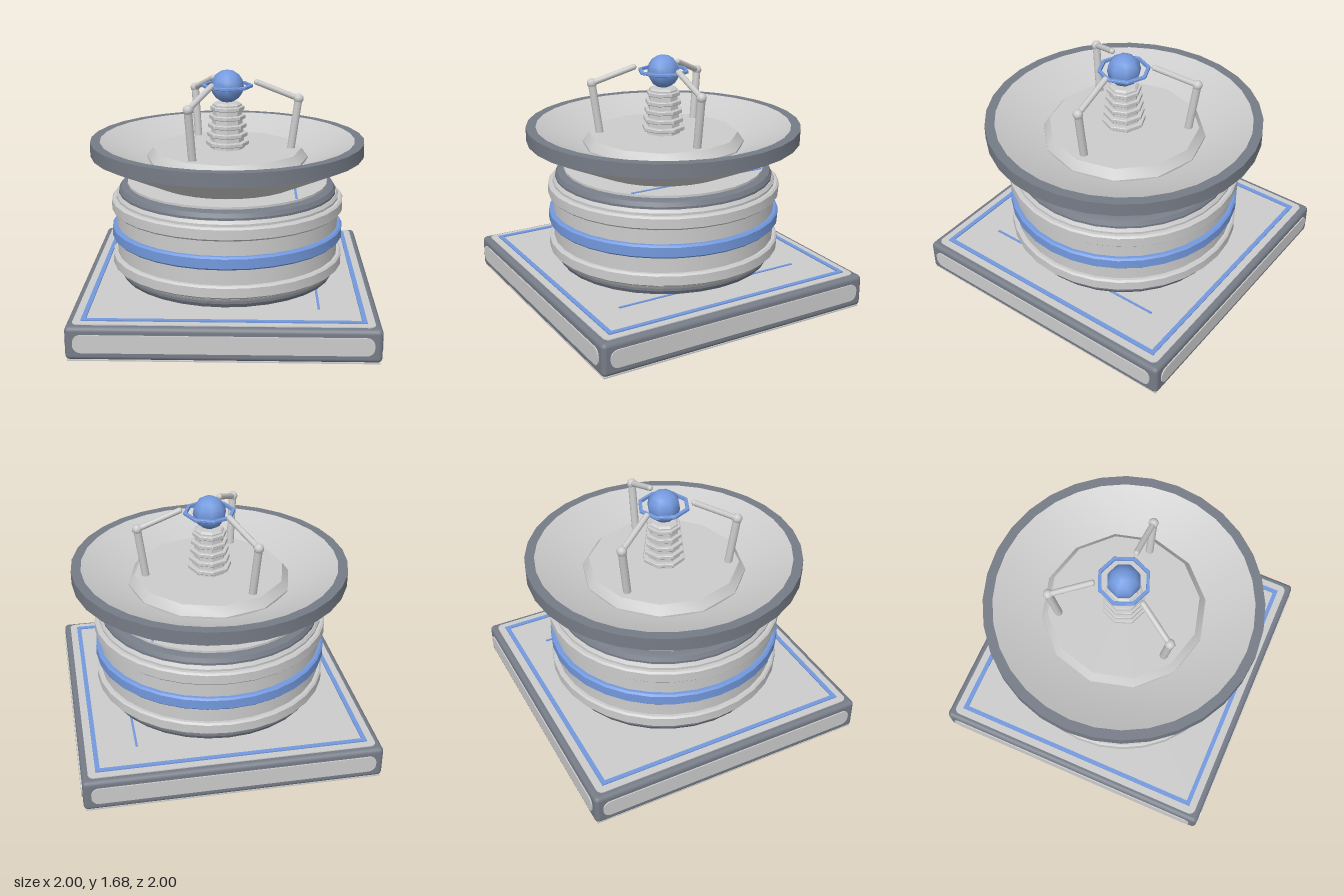
import * as THREE from 'three';
import { toCreasedNormals } from 'three/addons/utils/BufferGeometryUtils.js';
import { RoundedBoxGeometry } from 'three/addons/geometries/RoundedBoxGeometry.js';

const flat = (name, color) => {
  const m = new THREE.MeshStandardMaterial({ color });
  m.name = name;
  return m;
};

export function createModel() {
  const light = flat('light grey', 0xcccccc);
  const dark = flat('slate grey', 0x767c87);
  const blue = flat('blue', 0x7399de);
  const model = new THREE.Group();

  const add = (name, geometry, material, x = 0, y = 0, z = 0, parent = model) => {
    const mesh = new THREE.Mesh(geometry, material);
    mesh.name = name;
    mesh.position.set(x, y, z);
    parent.add(mesh);
    return mesh;
  };
  // Turned part from [radius, height] pairs
  const turned = (name, profile, material, sides = 32, crease = 0.5) => {
    const g = new THREE.LatheGeometry(profile.map(([r, y]) => new THREE.Vector2(r, y)), sides);
    return add(name, toCreasedNormals(g, crease), material);
  };
  // Hoop with chamfered edges
  const hoop = (name, r, y0, y1, inner, material, sides = 32, c = 0.012) =>
    turned(name, [[inner, y0], [r - c, y0], [r, y0 + c], [r, y1 - c], [r - c, y1], [inner, y1]], material, sides);
  // Rounded rectangle plate lying in the xy plane
  const plate = (w, h, r, depth) => {
    const s = new THREE.Shape();
    const x = w / 2, y = h / 2;
    s.absarc(x - r, y - r, r, 0, Math.PI / 2);
    s.absarc(-x + r, y - r, r, Math.PI / 2, Math.PI);
    s.absarc(-x + r, -y + r, r, Math.PI, Math.PI * 1.5);
    s.absarc(x - r, -y + r, r, Math.PI * 1.5, Math.PI * 2);
    return new THREE.ExtrudeGeometry(s, { depth, bevelEnabled: false, curveSegments: 6 });
  };

  // Square base
  add('baseFrame', new RoundedBoxGeometry(1.984, 0.222, 1.984, 3, 0.03), dark, 0, 0.119, 0);
  add('baseUnderside', new THREE.BoxGeometry(1.96, 0.009, 1.96), light, 0, 0.0045, 0);
  add('baseTopPanel', plate(1.9, 1.9, 0.04, 0.008), light, 0, 0.228, 0).rotation.x = -Math.PI / 2;
  for (let i = 0; i < 4; i++) {
    const side = new THREE.Group();
    side.name = 'baseSide';
    side.rotation.y = i * Math.PI / 2;
    add('sidePanel', plate(1.88, 0.12, 0.05, 0.009), light, 0, 0.122, 0.991, side);
    add('borderStripe', new THREE.BoxGeometry(1.8, 0.008, 0.03), blue, 0, 0.24, 0.885, side);
    model.add(side);
  }
  add('baseLine', new THREE.BoxGeometry(0.015, 0.006, 1.36), blue, 0.61, 0.239, 0);

  // Drum body
  turned('drumFoot', [[0, 0.235], [0.6, 0.24], [0.6, 0.255], [0.7, 0.255], [0.735, 0.268], [0.75, 0.295], [0.75, 0.335]], dark);
  turned('drumBody', [[0.74, 0.315], [0.755, 0.315], [0.768, 0.335], [0.768, 0.835], [0.755, 0.855], [0.74, 0.855]], light);
  turned('drumShoulder', [[0.75, 0.845], [0.75, 0.87], [0.735, 0.897], [0.7, 0.91], [0.6, 0.91]], dark);
  turned('drumTop', [[0.69, 0.905], [0.69, 0.925], [0, 0.925]], light);
  hoop('lowerBand', 0.8, 0.345, 0.432, 0.76, light);
  hoop('middleBand', 0.8, 0.54, 0.628, 0.76, blue);
  hoop('upperBand', 0.8, 0.732, 0.82, 0.76, light);
  add('drumLine', new THREE.BoxGeometry(0.015, 0.006, 1.0), blue, 0.46, 0.927, 0);

  // Dish
  turned('dishUnderside', [[0.48, 0.91], [0.935, 1.12]], light);
  turned('dishRim', [[0.935, 1.12], [0.935, 1.212], [0.87, 1.212]], dark);
  turned('dishBowl', [[0.87, 1.212], [0.48, 1.045], [0, 1.045]], light);
  turned('dishPlatform', [[0.555, 1.06], [0.555, 1.085], [0.51, 1.145], [0, 1.145]], light, 12);

  // Ribbed central column
  turned('columnCore', [[0.12, 1.14], [0.095, 1.44], [0.1, 1.44], [0.1, 1.448], [0.085, 1.46], [0, 1.46]], light, 8);
  for (let i = 0; i < 5; i++) {
    const y = 1.168 + i * 0.06;
    hoop('columnRib', 0.148 - i * 0.008, y, y + 0.028, 0.09, light, 8, 0.004);
  }

  // Orb and its ring
  add('orb', new THREE.SphereGeometry(0.112, 8, 8), blue, 0, 1.57, 0);
  hoop('orbRing', 0.175, 1.563, 1.583, 0.152, blue, 8, 0.003);
  turned('orbRingInside', [[0.152, 1.583], [0.152, 1.563]], blue, 8);

  // Three jointed arms
  const rod = (name, a, b, r, parent) => {
    const dir = b.clone().sub(a);
    const m = add(name, new THREE.CylinderGeometry(r, r, dir.length(), 10), light, 0, 0, 0, parent);
    m.position.copy(a).add(b).multiplyScalar(0.5);
    m.quaternion.setFromUnitVectors(new THREE.Vector3(0, 1, 0), dir.normalize());
  };
  const foot = new THREE.Vector3(0.435, 1.13, 0);
  const elbow = new THREE.Vector3(0.483, 1.487, 0);
  const tip = new THREE.Vector3(0.2, 1.598, 0);
  for (let i = 0; i < 3; i++) {
    const arm = new THREE.Group();
    arm.name = 'arm';
    arm.rotation.y = i * Math.PI * 2 / 3;
    rod('lowerArm', foot, elbow, 0.027, arm);
    rod('upperArm', elbow, tip, 0.02, arm);
    add('elbow', new THREE.SphereGeometry(0.034, 10, 8), light, elbow.x, elbow.y, 0, arm);
    add('armTip', new THREE.SphereGeometry(0.02, 10, 8), light, tip.x, tip.y, 0, arm);
    model.add(arm);
  }

  return model;
}
